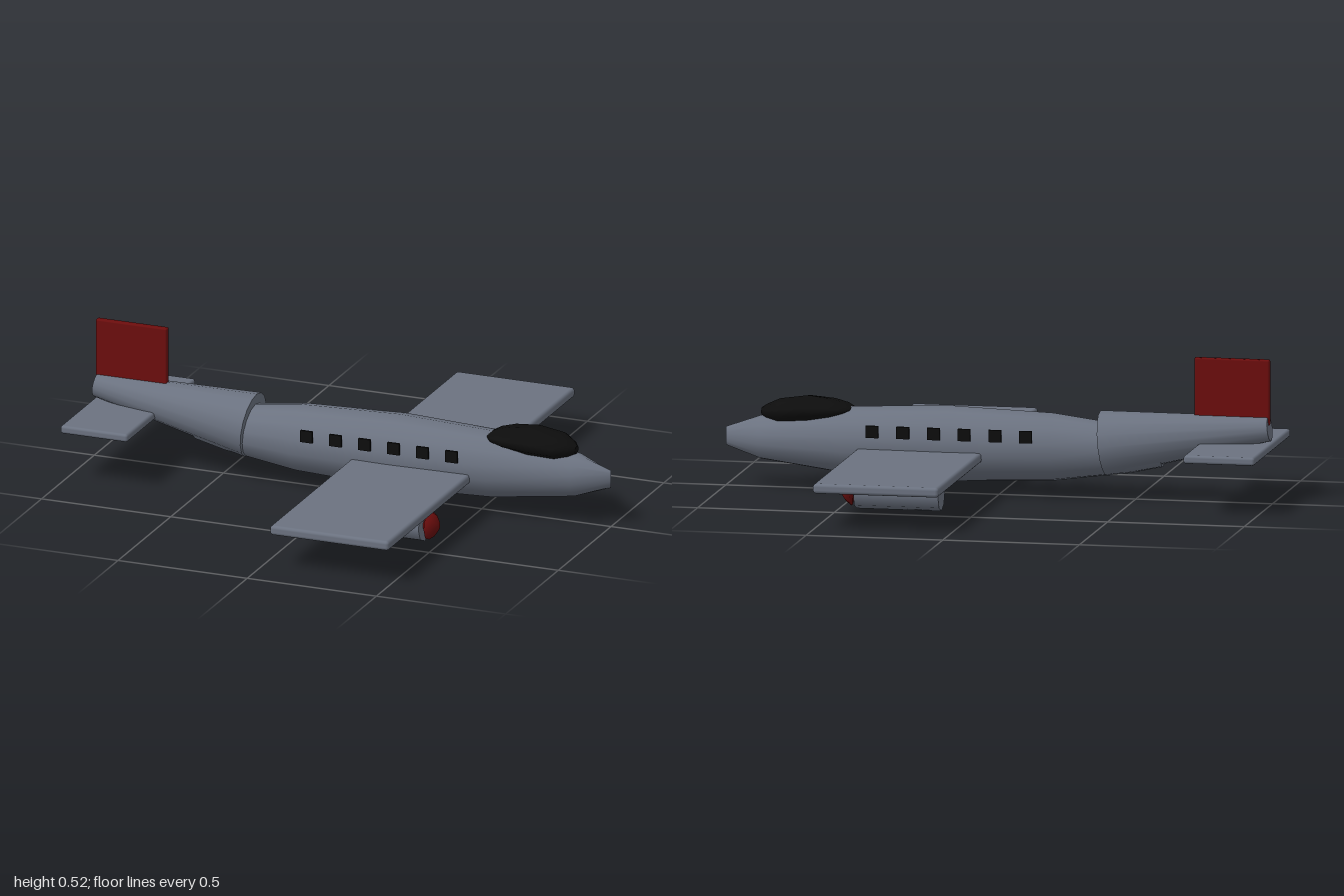
import * as THREE from 'three';
import { RoundedBoxGeometry } from 'three/addons/geometries/RoundedBoxGeometry.js';

const mat = (name, color) => {
  const m = new THREE.MeshStandardMaterial({ color });
  m.name = name;
  return m;
};

// Skin through elliptical rings [x, centre y, half height, half width], capped at both ends
function loft(rings, sides) {
  const pos = [], idx = [];
  const addRing = ([x, cy, ry, rz]) => {
    for (let j = 0; j < sides; j++) {
      const a = (j / sides) * Math.PI * 2;
      pos.push(x, cy + ry * Math.cos(a), rz * Math.sin(a));
    }
  };
  rings.forEach(addRing);
  for (let i = 0; i < rings.length - 1; i++) {
    for (let j = 0; j < sides; j++) {
      const k = (j + 1) % sides;
      const a = i * sides + j, b = i * sides + k;
      idx.push(a, b, a + sides, b, b + sides, a + sides);
    }
  }
  [rings[0], rings[rings.length - 1]].forEach((ring, end) => {
    const start = pos.length / 3;
    addRing(ring);
    pos.push(ring[0], ring[1], 0);
    for (let j = 0; j < sides; j++) {
      const a = start + j, b = start + ((j + 1) % sides), c = start + sides;
      if (end) idx.push(a, b, c);
      else idx.push(b, a, c);
    }
  });
  const g = new THREE.BufferGeometry();
  g.setAttribute('position', new THREE.Float32BufferAttribute(pos, 3));
  g.setIndex(idx);
  g.computeVertexNormals();
  return g;
}

export function createModel() {
  const group = new THREE.Group();
  group.name = 'airplane';
  const grey = mat('fuselage grey', 0x6b7280);
  const red = mat('dark red', 0x6b0d0d);
  const black = mat('glass black', 0x0d0d0d);

  const add = (name, geo, material, x = 0, y = 0, z = 0) => {
    const m = new THREE.Mesh(geo, material);
    m.name = name;
    m.position.set(x, y, z);
    group.add(m);
    return m;
  };

  // Body, narrowing to a vertical edge at the nose
  add('fuselage', loft([
    [-0.6, 0.183, 0.06, 0.055], [-0.48, 0.183, 0.086, 0.082], [-0.2, 0.183, 0.123, 0.12],
    [0.18, 0.183, 0.137, 0.132], [0.56, 0.183, 0.122, 0.12], [0.87, 0.183, 0.079, 0.075],
    [1, 0.183, 0.033, 0.001],
  ], 14), grey);

  // Tail cone, tilted so its top runs level
  const from = new THREE.Vector3(-0.99, 0.275, 0), to = new THREE.Vector3(-0.385, 0.203, 0);
  const axis = to.clone().sub(from);
  const mid = from.clone().add(to).multiplyScalar(0.5);
  const tail = add('tailCone', new THREE.CylinderGeometry(0.119, 0.045, axis.length(), 16),
    grey, mid.x, mid.y, 0);
  tail.quaternion.setFromUnitVectors(new THREE.Vector3(0, 1, 0), axis.normalize());

  // Cockpit glass
  add('cockpit', loft([
    [0.537, 0.297, 0.006, 0.045], [0.56, 0.297, 0.018, 0.078], [0.61, 0.296, 0.033, 0.098],
    [0.7, 0.292, 0.047, 0.1], [0.8, 0.284, 0.041, 0.09], [0.845, 0.279, 0.026, 0.052],
    [0.867, 0.277, 0.014, 0.018],
  ], 10), black);

  // Flying surfaces
  add('wing', new RoundedBoxGeometry(0.46, 0.036, 1.775, 2, 0.012), grey, 0.27, 0.153, 0);
  add('tailplane', new RoundedBoxGeometry(0.26, 0.03, 0.65, 2, 0.01), grey, -0.87, 0.208, 0);
  add('fin', new RoundedBoxGeometry(0.275, 0.24, 0.026, 2, 0.006), red, -0.853, 0.406, 0);

  for (const s of [1, -1]) {
    const side = s > 0 ? 'left' : 'right';

    // Cabin windows
    for (let i = 0; i < 6; i++) {
      add(`${side}Window${i + 1}`, new THREE.BoxGeometry(0.046, 0.044, 0.009), black,
        -0.124 + i * 0.1123, 0.237, s * 0.1335);
    }

    // Engine pod under the wing
    const pod = new THREE.CylinderGeometry(0.063, 0.063, 0.31, 8).rotateZ(-Math.PI / 2);
    add(`${side}Engine`, pod, grey, 0.285, 0.066, s * 0.393);

    // Domed spinner on a short shaft
    const dome = new THREE.LatheGeometry([[0, 0], [0.02, 0], [0.02, 0.018], [0.055, 0.02],
      [0.04, 0.04], [0.018, 0.055], [0, 0.056]].map(([r, h]) => new THREE.Vector2(r, h)), 8);
    dome.rotateZ(-Math.PI / 2);
    add(`${side}Spinner`, dome, red, 0.437, 0.066, s * 0.393);
  }
  return group;
}
